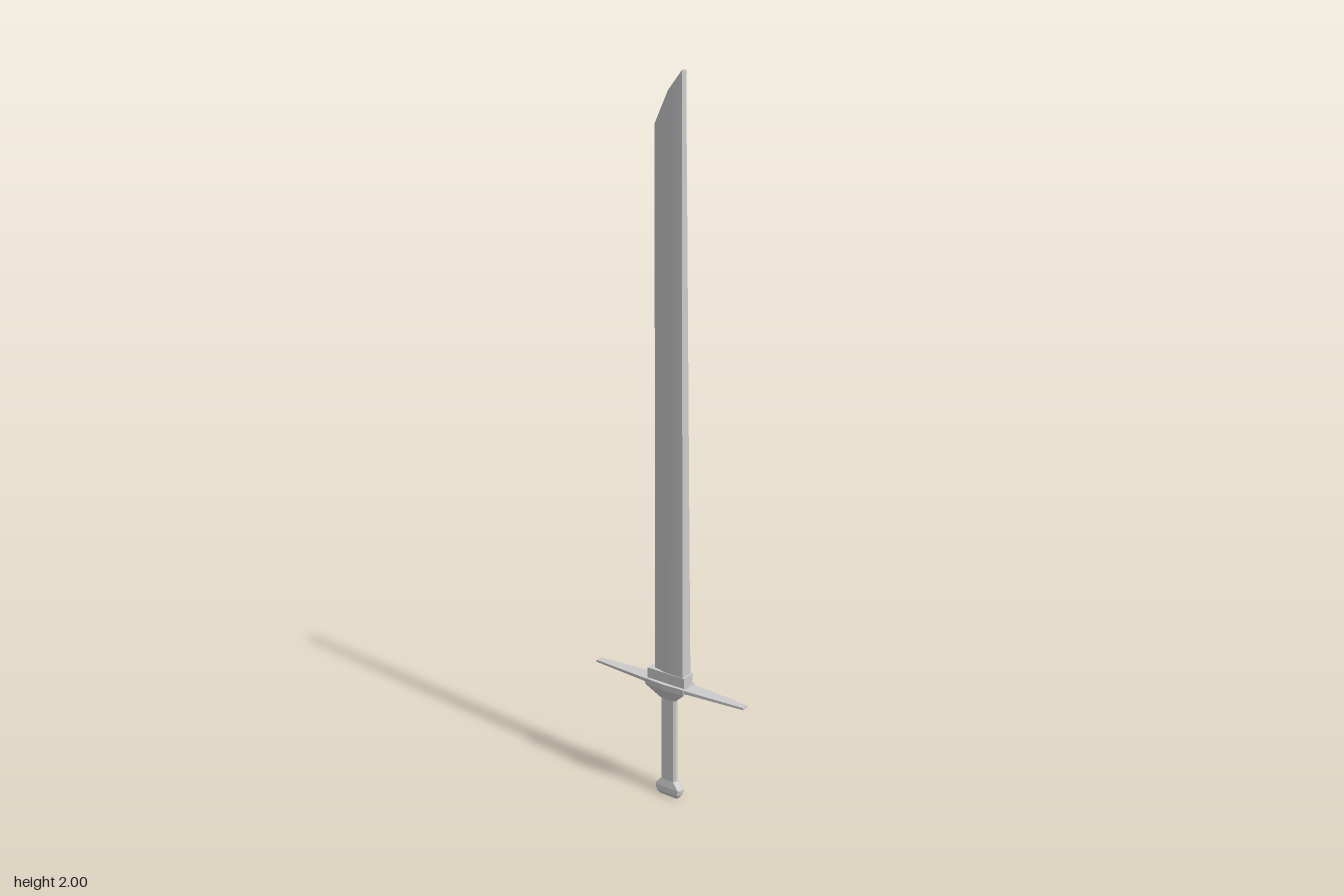
import * as THREE from 'three';
import { toCreasedNormals } from 'three/addons/utils/BufferGeometryUtils.js';

const flat = new THREE.MeshStandardMaterial({ color: 0xcccccc, flatShading: true });
const smooth = new THREE.MeshStandardMaterial({ color: 0xcccccc });

// Closed solid through cross-sections, each listed anticlockwise seen from +y
function loft(rings) {
  const n = rings[0].length, index = [];
  for (let j = 0; j < rings.length - 1; j++) {
    for (let i = 0; i < n; i++) {
      const a = j * n + i, b = j * n + (i + 1) % n;
      index.push(a, b, b + n, a, b + n, a + n);
    }
  }
  const top = (rings.length - 1) * n;
  for (let i = 1; i < n - 1; i++) {
    index.push(0, i + 1, i, top, top + i, top + i + 1);
  }
  const geometry = new THREE.BufferGeometry();
  geometry.setAttribute('position', new THREE.Float32BufferAttribute(rings.flat(2), 3));
  geometry.setIndex(index);
  geometry.computeVertexNormals();
  return geometry;
}

// Rectangle section with cut corners
function chamfered(y, w, d, c) {
  return [[w, d - c], [w, c - d], [w - c, -d], [c - w, -d],
    [-w, c - d], [-w, d - c], [c - w, d], [w - c, d]].map(([x, z]) => [x, y, z]);
}

// Six-sided section: ends of half depth d, middle of half depth m
function hexagon(y, w, d, m) {
  return [[w, y, d], [w, y, -d], [0, y, -m], [-w, y, -d], [-w, y, d], [0, y, m]];
}

// Blade section: thick spine on +x, thinner edge on -x; stations are [x, y, half depth]
function bladeSection(spine, middle, edge) {
  const at = ([x, y, d], side) => [x, y, side * d - 0.001];
  return [at(spine, 1), at(spine, -1), at(middle, -1), at(edge, -1), at(edge, 1), at(middle, 1)];
}

export function createModel() {
  const group = new THREE.Group();
  const add = (name, geometry, material = flat) => {
    const mesh = new THREE.Mesh(geometry, material);
    mesh.name = name;
    group.add(mesh);
    return mesh;
  };

  // Single-edged blade with a slanted tip
  const blade = loft([
    bladeSection([0.056, 0.385, 0.019], [0, 0.385, 0.019], [-0.045, 0.385, 0.008]),
    bladeSection([0.042, 2, 0.009], [0, 1.95, 0.009], [-0.041, 1.87, 0.007]),
  ]);
  add('blade', toCreasedNormals(blade, 0.5), smooth);

  // Collar at the foot of the blade
  add('collar', new THREE.BoxGeometry(0.124, 0.035, 0.042).translate(0, 0.3725, -0.001));

  // Guard block, with a flare narrowing down to the grip
  add('guardBlock', loft([
    hexagon(0.305, 0.025, 0.009, 0.011),
    hexagon(0.342, 0.064, 0.027, 0.031),
    hexagon(0.36, 0.064, 0.028, 0.032),
  ]));

  // Tapering guard arms, lofted upright and laid to either side
  for (const side of [1, -1]) {
    const section = (y, h, d) => [[h, y, d], [h, y, -d], [-h, y, -d], [-h, y, d]];
    const arm = add(side > 0 ? 'leftGuardArm' : 'rightGuardArm',
      loft([section(0.05, 0.005, 0.025), section(0.249, 0.003, 0.01)]));
    arm.rotation.z = -side * Math.PI / 2;
    arm.position.y = 0.352;
  }

  // Grip
  add('grip', loft([chamfered(0.04, 0.024, 0.01, 0.005), chamfered(0.315, 0.024, 0.01, 0.005)]));

  // Pommel
  add('pommel', loft([
    chamfered(0, 0.032, 0.009, 0.004),
    chamfered(0.012, 0.041, 0.014, 0.006),
    chamfered(0.028, 0.043, 0.014, 0.006),
    chamfered(0.05, 0.024, 0.01, 0.005),
  ]));

  return group;
}
